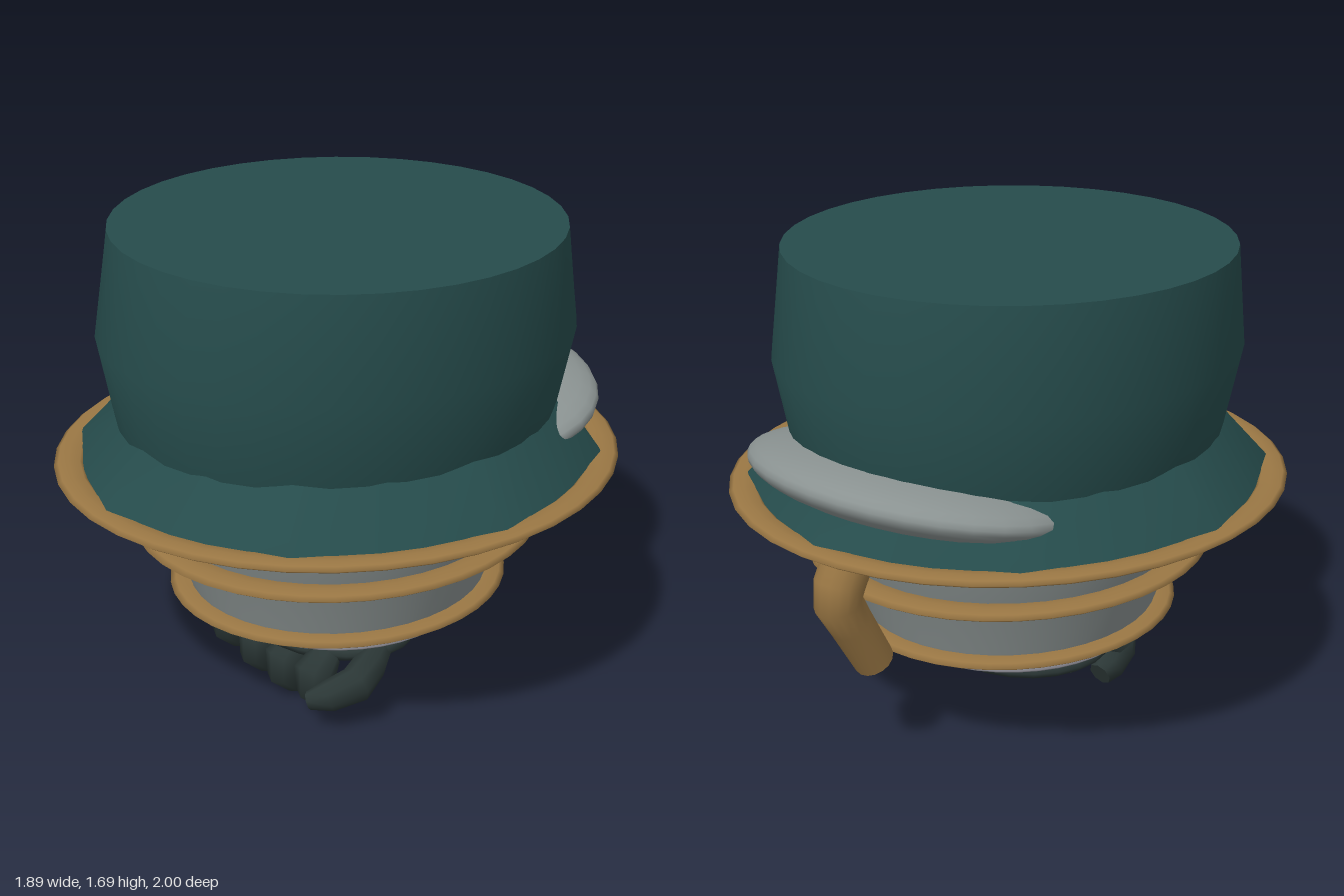
import * as THREE from 'three';

const material = (name, color, double) => {
  const m = new THREE.MeshStandardMaterial({ color });
  m.name = name;
  if (double) m.side = THREE.DoubleSide;
  return m;
};

// Skins a list of closed rings (arrays of Vector3), with flat caps on both ends
function skin(rings) {
  const n = rings[0].length, pos = [], idx = [];
  const add = (p) => pos.push(p.x, p.y, p.z) / 3 - 1;
  rings.forEach((ring) => ring.forEach(add));
  for (let k = 0; k < rings.length - 1; k++) {
    for (let i = 0; i < n; i++) {
      const j = (i + 1) % n, a = k * n + i, b = k * n + j;
      idx.push(a, b, b + n, a, b + n, a + n);
    }
  }
  [rings[0], rings[rings.length - 1]].forEach((ring, end) => {
    const c = add(ring.reduce((s, p) => s.add(p), new THREE.Vector3()).divideScalar(n));
    const first = c + 1;
    ring.forEach(add);
    for (let i = 0; i < n; i++) {
      const a = first + i, b = first + (i + 1) % n;
      if (end) idx.push(c, a, b); else idx.push(c, b, a);
    }
  });
  const g = new THREE.BufferGeometry();
  g.setAttribute('position', new THREE.Float32BufferAttribute(pos, 3));
  g.setIndex(idx);
  g.computeVertexNormals();
  return g;
}

// Stacked ellipses: [y, radiusX, radiusZ, factor on every second corner]
function stack(levels, sides) {
  return skin(levels.map(([y, rx, rz, f = 1]) => Array.from({ length: sides }, (_, i) => {
    const a = i / sides * Math.PI * 2, s = i % 2 ? f : 1;
    return new THREE.Vector3(Math.sin(a) * rx * s, y, Math.cos(a) * rz * s);
  })));
}

// Tapered limb through points [x, y, z, radius]
function limb(points, sides) {
  const p = points.map((q) => new THREE.Vector3(q[0], q[1], q[2]));
  return skin(p.map((c, k) => {
    const t = p[Math.min(k + 1, p.length - 1)].clone().sub(p[Math.max(k - 1, 0)]).normalize();
    const u = new THREE.Vector3(1, 0, 0).addScaledVector(t, -t.x).normalize();
    const v = u.clone().cross(t);
    return Array.from({ length: sides }, (_, i) => {
      const a = i / sides * Math.PI * 2, r = points[k][3];
      return c.clone().addScaledVector(v, Math.cos(a) * r).addScaledVector(u, Math.sin(a) * r);
    });
  }));
}

// Flattened elliptical ring with outer radii rx, rz
function band(rx, rz, width, height) {
  const tube = width / 2;
  const g = new THREE.TorusGeometry(rx - tube, tube, 8, 40);
  g.rotateX(Math.PI / 2);
  g.scale(1, height / width, rz / rx);
  return g;
}

export function createModel() {
  const model = new THREE.Group();
  const teal = material('teal', 0x264c4c);
  const gold = material('gold', 0x9a7744);
  const grey = material('grey', 0x8a9291);
  const paleGrey = material('pale grey', 0x8e8d96);
  const dark = material('dark glove', 0x2b3736, true);

  const part = (name, geometry, mat, x = 0, y = 0, z = 0, parent = model) => {
    const m = new THREE.Mesh(geometry, mat);
    m.name = name;
    m.position.set(x, y, z);
    parent.add(m);
    return m;
  };

  // Upper cuff
  part('cuff', stack([[0.98, 0.69, 0.775], [1.04, 0.71, 0.79], [1.325, 0.772, 0.84], [1.68, 0.76, 0.772]], 40), teal);
  part('cuffFlare', stack([[0.855, 0.905, 0.955, 0.95], [1.05, 0.71, 0.79, 0.985]], 16), teal);
  part('cuffTrim', band(0.945, 1.0, 0.1, 0.032), gold, 0, 0.861);

  // Tilted pad through the back of the flare
  const pad = part('backPad', new THREE.SphereGeometry(1, 32, 20), grey, 0, 0.965, -0.5);
  pad.scale.set(0.62, 0.119, 0.458);
  pad.rotation.x = 0.19;

  // Tapered forearm with three gold rings
  part('forearm', stack([
    [0.335, 0.48, 0.51], [0.35, 0.505, 0.535], [0.4, 0.51, 0.545],
    [0.61, 0.59, 0.625], [0.79, 0.653, 0.692], [0.822, 0.653, 0.692],
  ], 40), grey);
  [[0.377, 0.575, 0.615], [0.615, 0.69, 0.737], [0.807, 0.69, 0.737]].forEach(([y, rx, rz], i) =>
    part('forearmRing' + (i + 1), band(rx, rz, 0.12, 0.034), gold, 0, y));

  // Wrist disc
  part('wristRing', band(0.463, 0.465, 0.1, 0.034), paleGrey, 0, 0.298);
  part('wristDisc', stack([[0.292, 0.38, 0.38], [0.305, 0.38, 0.38], [0.32, 0.06, 0.06]], 32), grey);

  // Bent handle at the back
  part('backHandle', limb([
    [0, 0.86, -0.765, 0.085], [0, 0.8, -0.78, 0.085], [0, 0.7, -0.835, 0.085],
    [0, 0.64, -0.842, 0.082], [0, 0.55, -0.79, 0.075], [0, 0.375, -0.69, 0.07],
  ], 16), gold);

  // Hand
  const hand = new THREE.Group();
  hand.name = 'hand';
  model.add(hand);
  const palm = part('palm', new THREE.SphereGeometry(1, 24, 16), dark, 0, 0.208, 0.05, hand);
  palm.scale.set(0.365, 0.078, 0.305);
  palm.rotation.x = -0.06;
  [-0.262, -0.086, 0.086, 0.262].forEach((x, i) => {
    const y = Math.abs(x) > 0.2 ? 0.022 : 0;
    part('finger' + (i + 1), limb([
      [x * 0.95, 0.19 + y, 0.24, 0.055], [x, 0.14 + y, 0.3, 0.075], [x, 0.098 + y, 0.3, 0.07],
      [x, 0.05 + y, 0.25, 0.062], [x, 0.03 + y, 0.2, 0.045],
    ], 8), dark, 0, 0, 0, hand);
  });
  part('thumb', limb([
    [0.3, 0.2, 0.03, 0.04], [0.36, 0.185, 0.13, 0.06], [0.405, 0.16, 0.23, 0.065],
    [0.37, 0.13, 0.32, 0.055], [0.32, 0.105, 0.37, 0.032],
  ], 8), dark, 0, 0, 0, hand);

  return model;
}
